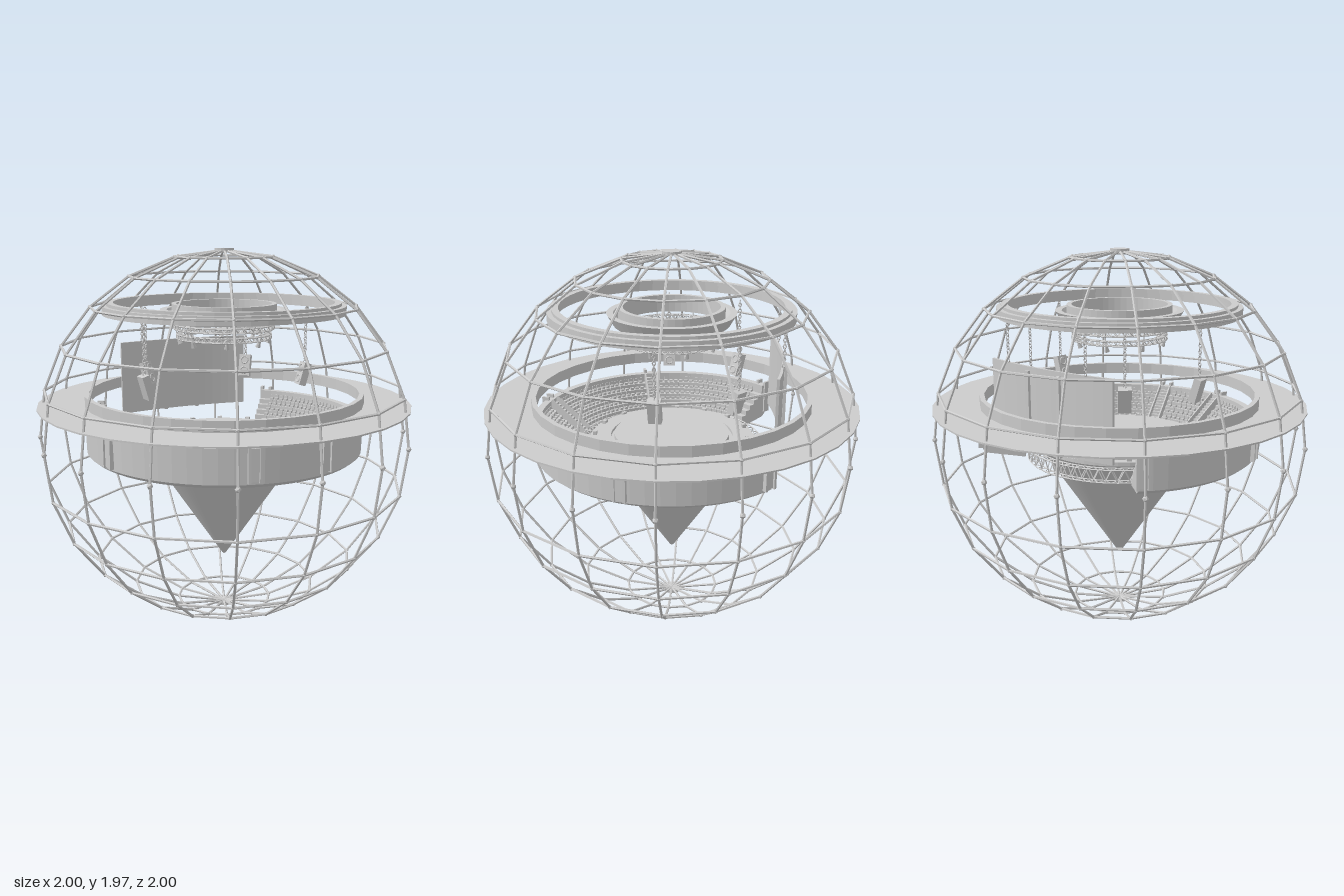
import * as THREE from 'three';
import { mergeGeometries } from 'three/addons/utils/BufferGeometryUtils.js';

const V = (x, y, z) => new THREE.Vector3(x, y, z);
const rad = THREE.MathUtils.degToRad;
// point at angle a (0 = front, 90 = the model's left), radius r, height y
const polar = (a, r, y) => V(r * Math.sin(rad(a)), y, r * Math.cos(rad(a)));

const flat = new THREE.MeshStandardMaterial({ color: 0xcccccc, flatShading: true, side: THREE.DoubleSide });
const smooth = new THREE.MeshStandardMaterial({ color: 0xcccccc, side: THREE.DoubleSide });

// thin bar between two points
function bar(a, b, r, sides = 4) {
  const d = b.clone().sub(a);
  const g = new THREE.CylinderGeometry(r, r, d.length(), sides);
  g.applyQuaternion(new THREE.Quaternion().setFromUnitVectors(V(0, 1, 0), d.normalize()));
  return g.translate((a.x + b.x) / 2, (a.y + b.y) / 2, (a.z + b.z) / 2);
}

// box placed at an angle around the axis, depth pointing outward
function boxAt(a, r, y, w, h, d, tilt = 0) {
  const p = polar(a, r, y);
  return new THREE.BoxGeometry(w, h, d).rotateX(tilt).rotateY(rad(a)).translate(p.x, p.y, p.z);
}

// closed ring of rectangular section, or slanted if the top radii differ
function ring(r0, r1, y0, y1, segs, t0 = r0, t1 = r1) {
  const pts = [[r0, y0], [r1, y0], [t1, y1], [t0, y1], [r0, y0]];
  return new THREE.LatheGeometry(pts.map(p => new THREE.Vector2(...p)), segs);
}

// round lattice truss: four chords with zigzag webs
function trussRing(r0, r1, y0, y1, n, t) {
  const parts = [];
  for (const r of [r0, r1]) for (const y of [y0, y1])
    parts.push(new THREE.TorusGeometry(r, t, 4, 48).rotateX(Math.PI / 2).translate(0, y, 0));
  for (let i = 0; i < n; i++) {
    const a = i * 360 / n, b = (i + 0.5) * 360 / n, c = (i + 1) * 360 / n;
    for (const r of [r0, r1]) {
      parts.push(bar(polar(a, r, y0), polar(b, r, y1), t * 0.8, 3));
      parts.push(bar(polar(b, r, y1), polar(c, r, y0), t * 0.8, 3));
    }
    for (const y of [y0, y1]) {
      parts.push(bar(polar(a, r0, y), polar(b, r1, y), t * 0.8, 3));
      parts.push(bar(polar(b, r1, y), polar(c, r0, y), t * 0.8, 3));
    }
  }
  return mergeGeometries(parts);
}

// hanging chain of links turned alternately
function chain(x, z, y0, y1) {
  const n = Math.round((y1 - y0) / 0.016), parts = [];
  for (let i = 0; i < n; i++)
    parts.push(new THREE.TorusGeometry(0.008, 0.003, 4, 6).scale(1, 1.3, 1)
      .rotateY(i % 2 * Math.PI / 2).translate(x, y0 + (i + 0.5) * (y1 - y0) / n, z));
  return mergeGeometries(parts);
}

export function createModel() {
  const model = new THREE.Group();
  const add = (name, geo, mat = flat) => {
    const m = new THREE.Mesh(geo, mat);
    m.name = name;
    model.add(m);
    return m;
  };

  // spherical cage: 16 meridians, latitude rings every 15 degrees except the equator
  const R = 0.985, C = 0.985, N = 16, meridians = [], latitudes = [], joints = [];
  const node = (i, lat) => polar(i * 360 / N, R * Math.cos(rad(lat)), C + 0.975 * Math.sin(rad(lat)));
  for (let i = 0; i < N; i++) {
    for (let lat = -90; lat < 90; lat += 15) {
      meridians.push(bar(node(i, lat), node(i, lat + 15), 0.007, 5));
      if (lat === -90) continue;
      const p = node(i, lat);
      joints.push(new THREE.IcosahedronGeometry(lat ? 0.011 : 0.015, 0).translate(p.x, p.y, p.z));
      if (lat !== 0) latitudes.push(bar(p, node(i + 1, lat), 0.007, 5));
    }
  }
  add('cageMeridians', mergeGeometries(meridians));
  add('cageLatitudes', mergeGeometries(latitudes));
  add('cageJoints', mergeGeometries(joints));
  for (const y of [0.008, 1.962])
    add('cageHub', new THREE.CylinderGeometry(0.05, 0.05, 0.016, 16).translate(0, y, 0));

  // outer walkway and its inner parapet
  add('walkway', ring(0.73, 0.985, 1.166, 1.174, 32));
  add('walkwayParapet', ring(0.715, 0.74, 1.17, 1.23, 32));

  // seating bowl: stepped section swept through 270 degrees, open at the back
  const ROWS = 6, r0 = 0.51, dr = 0.032, y0 = 0.92, dy = 0.026;
  const section = [[r0, 0.875], [0.71, 0.905], [0.735, 0.925], [0.74, 1.1], [r0 + ROWS * dr, 1.1]];
  for (let i = ROWS - 1; i >= 0; i--)
    section.push([r0 + (i + 1) * dr, y0 + i * dy], [r0 + i * dr, y0 + i * dy]);
  section.push(section[0]);
  const outline = section.map(p => new THREE.Vector2(...p));
  add('seatingBowl', new THREE.LatheGeometry(outline, 48, rad(-135), rad(270)));
  for (const a of [-135, 135])
    add('bowlEnd', new THREE.ShapeGeometry(new THREE.Shape(outline)).rotateY(rad(a - 90)));

  // rows of seats between the aisles
  const seats = [];
  for (const [from, to] of [[-130, -79], [-71, -19], [-11, 11], [19, 71], [79, 130]])
    for (let i = 0; i < ROWS; i++) {
      const r = r0 + (i + 0.55) * dr, n = Math.floor(rad(to - from) * r / 0.03);
      for (let k = 0; k < n; k++) {
        const a = from + (k + 0.5) * (to - from) / n, y = y0 + i * dy;
        seats.push(boxAt(a, r, y + 0.006, 0.02, 0.012, 0.016));
        seats.push(boxAt(a, r + 0.009, y + 0.016, 0.02, 0.026, 0.004));
      }
    }
  add('seats', mergeGeometries(seats));

  // aisle stairs with side walls, and the pier outside each one
  const stairs = [], piers = [];
  for (const a of [-75, -15, 15, 75])
    for (let i = 0; i < ROWS * 2; i++)
      stairs.push(boxAt(a, r0 + (i + 0.5) * dr / 2, y0 + i * dy / 2, 0.055, 0.03, dr / 2));
  for (const a of [-75, -15, 15, 75]) for (const s of [-1, 1]) {
    const p = polar(a, 0.61, 1.015), tilt = -Math.atan2(dy, dr);
    stairs.push(new THREE.BoxGeometry(0.008, 0.04, 0.25).rotateX(tilt)
      .translate(s * 0.032, 0, 0).rotateY(rad(a)).translate(p.x, p.y, p.z));
  }
  for (const a of [-133, -75, -15, 15, 75, 133]) {
    piers.push(boxAt(a, 0.738, 1.02, 0.05, 0.16, 0.02));
    for (const s of [-1, 1]) piers.push(boxAt(a + s * 2.1, 0.738, 1.027, 0.014, 0.185, 0.04));
  }
  add('aisleStairs', mergeGeometries(stairs));
  add('piers', mergeGeometries(piers));

  // stage on an inverted cone
  const cone = [[0, 0.295], [0.012, 0.305], [0.39, 0.87], [0.445, 0.95]];
  add('stageCone', new THREE.LatheGeometry(cone.map(p => new THREE.Vector2(...p)), 48), smooth);
  add('stageFloor', new THREE.CylinderGeometry(0.445, 0.445, 0.02, 48).translate(0, 0.96, 0));
  add('stageRing', ring(0.33, 0.4, 0.97, 0.985, 48));
  add('stageDisc', new THREE.CylinderGeometry(0.31, 0.31, 0.03, 48).translate(0, 0.985, 0));
  const footlights = [];
  for (let i = 0; i < 16; i++) footlights.push(boxAt(i * 22.5, 0.42, 0.98, 0.025, 0.02, 0.02));
  add('footlights', mergeGeometries(footlights));
  add('stageTruss', trussRing(0.46, 0.495, 0.88, 0.945, 48, 0.004));

  // curved screen at the back, hung on chains
  const screen = new THREE.BoxGeometry(0.78, 0.41, 0.014, 16, 1, 1).translate(0, 1.235, 0);
  const pos = screen.attributes.position;
  for (let i = 0; i < pos.count; i++)
    pos.setZ(i, pos.getZ(i) - 0.575 + 0.04 * (pos.getX(i) / 0.39) ** 2);
  screen.computeVertexNormals();
  add('backScreen', screen);
  for (const s of [-1, 1]) {
    add('screenChain', chain(s * 0.25, -0.565, 1.44, 1.65));
    add('screenBrace', new THREE.BoxGeometry(0.02, 0.4, 0.015).translate(s * 0.1, 1.22, -0.588));
  }

  // ceiling: wide hoop, flared inner hoop, two lighting trusses
  add('ceilingHoop', ring(0.59, 0.635, 1.64, 1.685, 48));
  add('ceilingHoopLip', ring(0.575, 0.61, 1.68, 1.7, 48));
  add('innerHoop', ring(0.255, 0.3, 1.6, 1.66, 48, 0.3, 0.335));
  add('innerHoopRim', ring(0.25, 0.275, 1.6, 1.69, 48));
  add('upperTruss', trussRing(0.235, 0.265, 1.56, 1.582, 40, 0.003));
  add('lowerTruss', trussRing(0.22, 0.25, 1.51, 1.532, 40, 0.003));
  const hangers = [], lamps = [];
  for (let i = 0; i < 8; i++) {
    const a = 22.5 + i * 45, p = polar(a, 0.235, 1.495);
    hangers.push(bar(polar(a, 0.245, 1.51), polar(a, 0.26, 1.62), 0.003));
    lamps.push(new THREE.CylinderGeometry(0.007, 0.014, 0.03, 8).rotateX(0.4)
      .rotateY(rad(a)).translate(p.x, p.y, p.z));
  }
  add('trussHangers', mergeGeometries(hangers));
  add('stageLamps', mergeGeometries(lamps));

  // four hanging loudspeakers, tilted toward the stage
  for (const s of [-1, 1]) for (const [x, z] of [[0.47, 0.05], [0.31, -0.35]]) {
    const a = THREE.MathUtils.radToDeg(Math.atan2(s * x, z)), r = Math.hypot(x, z);
    add('speakerChain', chain(s * x, z, 1.35, 1.65));
    const speaker = new THREE.Group();
    speaker.name = 'speaker';
    const box = new THREE.Mesh(new THREE.BoxGeometry(0.065, 0.125, 0.04), flat);
    box.name = 'speakerBox';
    speaker.add(box);
    for (const y of [-0.03, 0.03]) {
      const driver = new THREE.Mesh(new THREE.TorusGeometry(0.02, 0.004, 4, 12).translate(0, y, -0.02), flat);
      driver.name = 'speakerDriver';
      speaker.add(driver);
    }
    speaker.position.copy(polar(a, r - 0.01, 1.29));
    speaker.rotation.set(0.28, rad(a), 0, 'YXZ');
    model.add(speaker);
  }
  return model;
}
